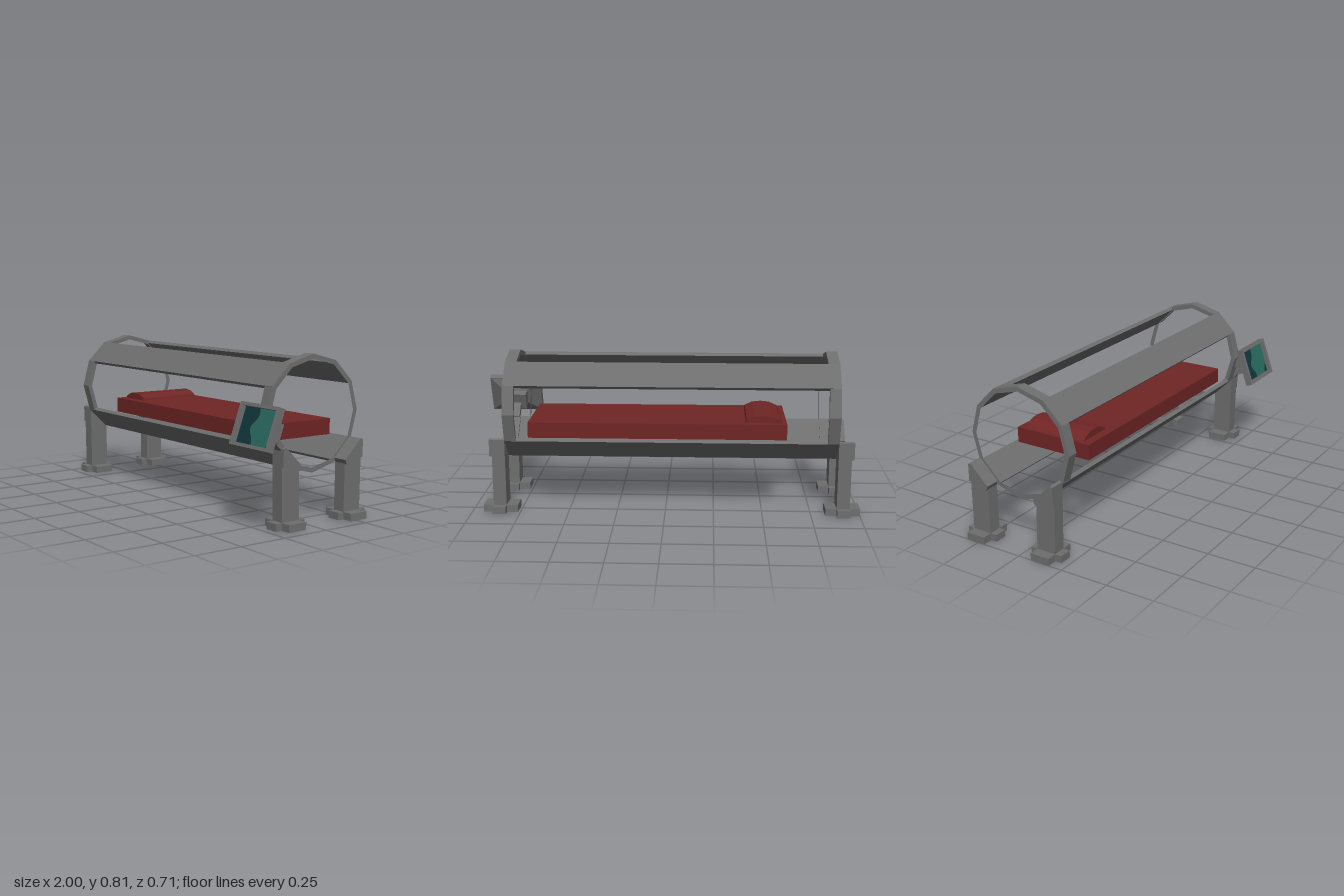
import * as THREE from 'three';

const mat = (name, color) => Object.assign(new THREE.MeshStandardMaterial({ color }), { name });

export function createModel() {
  const model = new THREE.Group();
  const grey = mat('metal grey', 0x6e6e6e);
  const red = mat('mattress red', 0x702525);
  const teal = mat('screen teal', 0x28685f);
  const darkTeal = mat('screen dark teal', 0x10363a);

  const CX = -0.03;                 // middle between the two rings
  const RZ = -0.062, RY = 0.523;    // ring axis
  const LZ = -0.07;                 // middle between front and back legs

  const add = (name, geometry, material, parent = model) => {
    const mesh = new THREE.Mesh(geometry, material);
    mesh.name = name;
    parent.add(mesh);
    return mesh;
  };
  const box = (name, x0, x1, y0, y1, z0, z1, material, parent) => {
    const g = new THREE.BoxGeometry(x1 - x0, y1 - y0, z1 - z0);
    g.translate((x0 + x1) / 2, (y0 + y1) / 2, (z0 + z1) / 2);
    return add(name, g, material, parent);
  };
  const shapeOf = (pts) => new THREE.Shape(pts.map(([x, y]) => new THREE.Vector2(x, y)));
  // extrude a [z, y] outline along x
  const extrudeX = (pts, xa, xb, hole) => {
    const flip = (list) => list.map(([z, y]) => [-z, y]);
    const shape = shapeOf(flip(pts));
    if (hole) shape.holes.push(shapeOf(flip(hole)));
    const g = new THREE.ExtrudeGeometry(shape, { depth: Math.abs(xb - xa), bevelEnabled: false });
    return g.rotateY(Math.PI / 2).translate(Math.min(xa, xb), 0, 0);
  };
  const ringPoints = (r) => Array.from({ length: 12 }, (_, i) => {
    const a = (i * Math.PI) / 6;
    return [RZ + r * Math.cos(a), RY + r * Math.sin(a)];
  });

  // twelve-sided end rings with their legs and cross-shaped feet
  for (const s of [-1, 1]) {
    add('endRing', extrudeX(ringPoints(0.286), CX + s * 0.795, CX + s * 0.853, ringPoints(0.262)), grey);
    for (const side of [1, -1]) {
      const leg = new THREE.Group();
      leg.name = side > 0 ? 'frontLeg' : 'backLeg';
      model.add(leg);
      const place = (pts) => pts.map(([d, y]) => [LZ + side * d, y]);
      add('legPost', extrudeX(place([[0.246, 0.03], [0.25, 0.385], [0.235, 0.391], [0.137, 0.294], [0.145, 0.275], [0.142, 0.03]]),
        CX + s * 0.85, CX + s * 0.917), grey, leg);
      add('legSaddle', extrudeX(place([[0.249, 0.3], [0.25, 0.387], [0.235, 0.392], [0.136, 0.295], [0.146, 0.272]]),
        CX + s * 0.851, CX + s * 0.93), grey, leg);
      const footX = (a, b) => [CX + s * a, CX + s * b].sort((p, q) => p - q);
      const footZ = (a, b) => [LZ + side * a, LZ + side * b].sort((p, q) => p - q);
      box('footArmAcross', ...footX(0.793, 0.97), 0, 0.037, ...footZ(0.142, 0.246), grey, leg);
      box('footArmAlong', ...footX(0.85, 0.918), 0, 0.037, ...footZ(0.108, 0.282), grey, leg);
    }
  }

  // four long beams lying on the diagonal facets of the rings
  for (let i = 0; i < 4; i++) {
    const a = Math.PI / 4 + (i * Math.PI) / 2;
    const beam = add('longBeam', new THREE.BoxGeometry(1.698, 0.02, 0.148), grey);
    beam.position.set(CX, RY + 0.268 * Math.sin(a), RZ + 0.268 * Math.cos(a));
    beam.rotation.x = Math.PI / 2 - a;
  }

  // mattress and arched pillow
  box('mattress', -0.62, 0.705, 0.39, 0.47, -0.28, 0.15, red);
  const pillow = new THREE.ExtrudeGeometry(
    shapeOf([[-0.6, 0.468], [-0.41, 0.468], [-0.415, 0.484], [-0.455, 0.502], [-0.5, 0.507], [-0.545, 0.502], [-0.585, 0.484]]),
    { depth: 0.35, bevelEnabled: false });
  add('pillow', pillow.translate(0, 0, -0.245), red);

  // arm carrying the monitor
  add('monitorArm', extrudeX([[0.16, 0.394], [0.222, 0.462], [0.235, 0.435], [0.18, 0.375]], 0.825, 0.885), grey);

  // tilted monitor
  const monitor = new THREE.Group();
  monitor.name = 'monitor';
  monitor.position.set(0.86, 0.5025, 0.325);
  monitor.rotation.x = -0.345;
  model.add(monitor);
  const rect = (w, h) => [[-w, -h], [w, -h], [w, h], [-w, h]];
  const bezel = shapeOf(rect(0.14, 0.1035));
  bezel.holes.push(shapeOf(rect(0.122, 0.087)));
  add('bezel', new THREE.ExtrudeGeometry(bezel, { depth: 0.035, bevelEnabled: false }).translate(0, 0, -0.035), grey, monitor);
  // box between a front and a back rectangle of different size
  const taper = (name, w0, h0, z0, w1, h1, z1) => {
    const g = new THREE.BoxGeometry(1, 1, 1);
    const p = g.attributes.position;
    for (let i = 0; i < p.count; i++) {
      const front = p.getZ(i) > 0;
      p.setXYZ(i, p.getX(i) * (front ? w0 : w1), p.getY(i) * (front ? h0 : h1), front ? z0 : z1);
    }
    const flat = g.toNonIndexed();
    flat.computeVertexNormals();
    add(name, flat, grey, monitor);
  };
  taper('monitorBack', 0.28, 0.207, -0.034, 0.13, 0.08, -0.062);
  taper('monitorNeck', 0.13, 0.08, -0.06, 0.13, 0.092, -0.117);

  // recessed screen with a wavy two-tone display
  box('screen', -0.123, 0.123, -0.088, 0.088, -0.034, -0.024, darkTeal, monitor);
  const wave = new THREE.Shape();
  wave.moveTo(-0.012, 0.087);
  wave.bezierCurveTo(0.004, 0.045, -0.02, 0.03, -0.045, 0.0);
  wave.bezierCurveTo(-0.055, -0.03, -0.015, -0.04, -0.012, -0.087);
  wave.lineTo(0.09, -0.087);
  wave.quadraticCurveTo(0.098, -0.05, 0.122, -0.035);
  wave.lineTo(0.122, 0.087);
  add('screenWave', new THREE.ShapeGeometry(wave, 8).translate(0, 0, -0.022), teal, monitor);

  return model;
}
